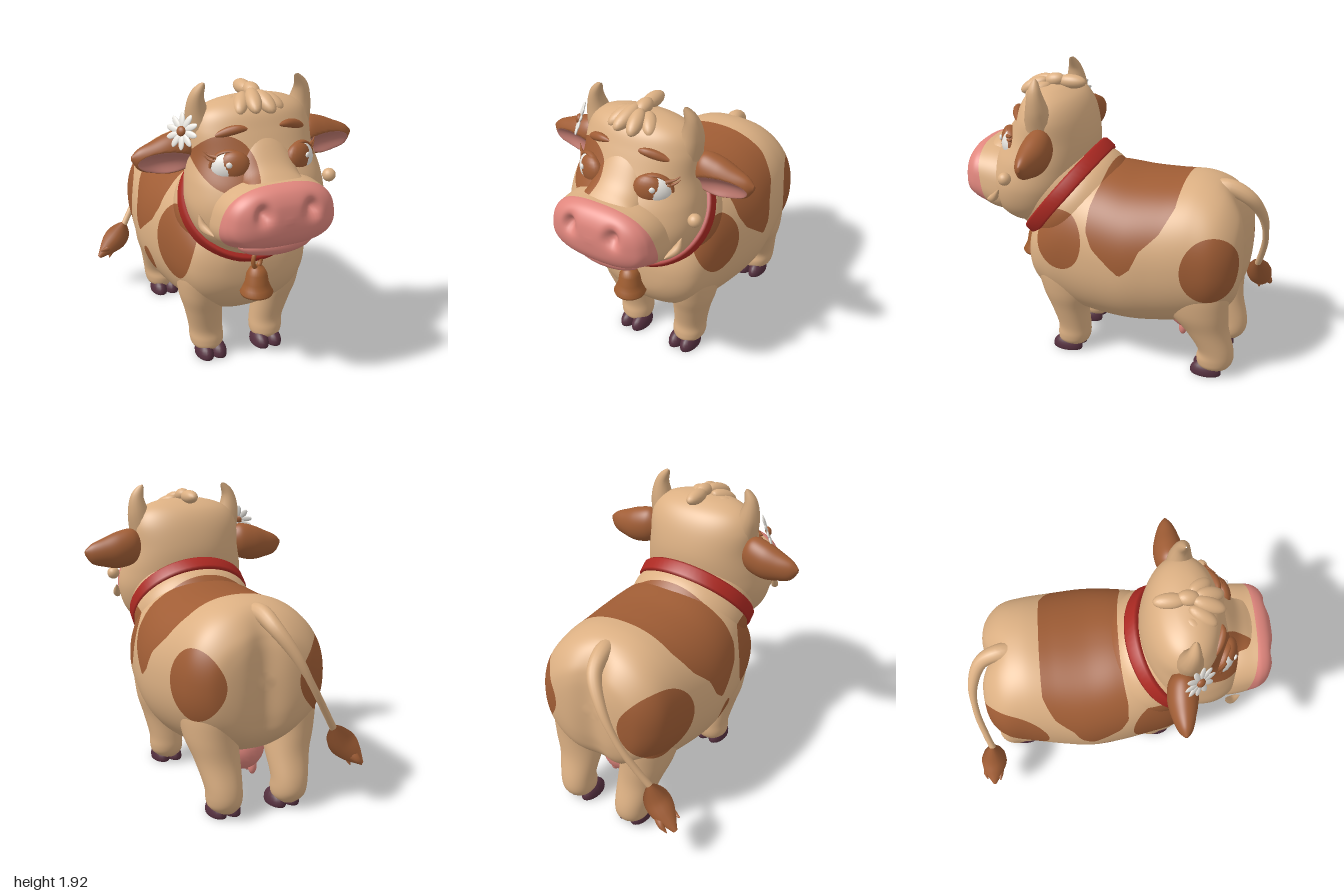
import * as THREE from 'three';

const flat = (name, color) => Object.assign(new THREE.MeshStandardMaterial({ color }), { name });

// Smooth skin through cross-sections [t, a0, a1, b0, b1]; axis 0 = x, 1 = y, 2 = z
function loft(axis, rows, power, steps, around) {
  const pos = [], index = [], n = (rows.length - 1) * steps;
  const row = i => rows[Math.min(Math.max(i, 0), rows.length - 1)];
  const put = (t, a, b) => {
    const p = [0, 0, 0];
    p[axis] = t; p[(axis + 1) % 3] = a; p[(axis + 2) % 3] = b;
    pos.push(...p);
  };
  const bulge = v => Math.sign(v) * Math.abs(v) ** (2 / power);
  const sections = [];
  for (let i = 0; i <= n; i++) {
    const k = Math.min(Math.floor(i / steps), rows.length - 2), f = i / steps - k;
    const s = row(k).map((p1, c) => {
      const p0 = row(k - 1)[c], p2 = row(k + 1)[c], p3 = row(k + 2)[c];
      return p1 + 0.5 * f * (p2 - p0 + f * (2 * p0 - 5 * p1 + 4 * p2 - p3 + f * (3 * (p1 - p2) + p3 - p0)));
    });
    sections.push(s);
    for (let j = 0; j < around; j++) {
      const w = j / around * Math.PI * 2;
      put(s[0], (s[1] + s[2]) / 2 + (s[2] - s[1]) / 2 * bulge(Math.cos(w)),
        (s[3] + s[4]) / 2 + (s[4] - s[3]) / 2 * bulge(Math.sin(w)));
    }
  }
  for (const s of [sections[0], sections[n]]) put(s[0], (s[1] + s[2]) / 2, (s[3] + s[4]) / 2);
  const c0 = (n + 1) * around;
  for (let j = 0; j < around; j++) {
    const j2 = (j + 1) % around;
    for (let i = 0; i < n; i++) {
      const a = i * around + j, b = i * around + j2;
      index.push(a, b, b + around, a, b + around, a + around);
    }
    index.push(c0, j2, j, c0 + 1, n * around + j, n * around + j2);
  }
  const g = new THREE.BufferGeometry();
  g.setAttribute('position', new THREE.Float32BufferAttribute(pos, 3));
  g.setIndex(index);
  g.computeVertexNormals();
  return g;
}

// Ellipsoid
function blob(x, y, z, rx, ry, rz, ax = 0, ay = 0) {
  return new THREE.SphereGeometry(1, 20, 14).scale(rx, ry, rz).rotateX(ax).rotateY(ay).translate(x, y, z);
}

// Move every vertex by a rule
function sculpt(g, rule) {
  const p = g.attributes.position;
  for (let i = 0; i < p.count; i++) p.setXYZ(i, ...rule(p.getX(i), p.getY(i), p.getZ(i)));
  g.computeVertexNormals();
  return g;
}

// Tube whose radius follows a rule
function taper(points, radius, seg = 24, sides = 14) {
  const curve = new THREE.CatmullRomCurve3(points.map(p => new THREE.Vector3(...p)));
  const g = new THREE.TubeGeometry(curve, seg, 1, sides);
  const p = g.attributes.position, v = new THREE.Vector3();
  for (let i = 0; i < p.count; i++) {
    const t = Math.floor(i / (sides + 1)) / seg, c = curve.getPointAt(t);
    v.fromBufferAttribute(p, i).sub(c).multiplyScalar(radius(t)).add(c);
    p.setXYZ(i, v.x, v.y, v.z);
  }
  return g;
}

function mirror(geo) {
  const g = geo.clone().scale(-1, 1, 1), ix = g.index.array;
  for (let i = 0; i < ix.length; i += 3) [ix[i], ix[i + 1]] = [ix[i + 1], ix[i]];
  return g;
}

// Split the skin along the zero line of a field: negative faces first, positive second
function paint(g, field) {
  const p = [...g.attributes.position.array], n = [...g.attributes.normal.array], ix = g.index.array;
  const f = [], sets = [[], []];
  for (let i = 0; i < p.length; i += 3) f.push(field(p[i], p[i + 1], p[i + 2]));
  const side = i => (f[i] > 0 ? 1 : 0);
  const cut = (a, b) => {
    const t = f[a] / (f[a] - f[b]);
    for (const list of [p, n])
      for (let c = 0; c < 3; c++) list.push(list[a * 3 + c] * (1 - t) + list[b * 3 + c] * t);
    return p.length / 3 - 1;
  };
  for (let i = 0; i < ix.length; i += 3) {
    const tri = [ix[i], ix[i + 1], ix[i + 2]];
    const lone = tri.findIndex((v, k) => side(v) !== side(tri[(k + 1) % 3]) && side(v) !== side(tri[(k + 2) % 3]));
    if (lone < 0) { sets[side(tri[0])].push(...tri); continue; }
    const a = tri[lone], b = tri[(lone + 1) % 3], c = tri[(lone + 2) % 3], ab = cut(a, b), ac = cut(a, c);
    sets[side(a)].push(a, ab, ac);
    sets[side(b)].push(ab, b, c, ab, c, ac);
  }
  const out = new THREE.BufferGeometry();
  out.setAttribute('position', new THREE.Float32BufferAttribute(p, 3));
  out.setAttribute('normal', new THREE.Float32BufferAttribute(n, 3));
  out.setIndex([...sets[0], ...sets[1]]);
  out.addGroup(0, sets[0].length, 0);
  out.addGroup(sets[0].length, sets[1].length, 1);
  return out;
}

// Patch fields; the saddle outline is [z, y]
const saddle = [[-0.02, 1.6], [0.02, 1.28], [0.05, 1.15], [0.05, 1.02], [0, 0.92], [-0.1, 0.84], [-0.19, 0.77],
  [-0.26, 0.83], [-0.31, 0.95], [-0.42, 1.06], [-0.49, 1.2], [-0.5, 1.6]];
function inSaddle(z, y) {
  let sign = -1, d = 9;
  saddle.forEach(([z1, y1], i) => {
    const [z2, y2] = saddle[(i + 1) % saddle.length], dz = z2 - z1, dy = y2 - y1;
    if ((y1 > y) !== (y2 > y) && z < dz * (y - y1) / dy + z1) sign = -sign;
    const t = Math.min(1, Math.max(0, ((z - z1) * dz + (y - y1) * dy) / (dz * dz + dy * dy)));
    d = Math.min(d, Math.hypot(z - z1 - t * dz, y - y1 - t * dy));
  });
  return sign * d;
}
const spots = [[0.43, 0.92, 0.25, 0.3, 0.2, 0.175], [-0.43, 0.86, 0.26, 0.3, 0.25, 0.18],
  [0.47, 0.845, -0.755, 0.3, 0.225, 0.19], [-0.43, 0.84, -0.73, 0.28, 0.24, 0.26], [-0.48, 0.6, -0.1, 0.3, 0.085, 0.065]];
const hidePatch = (x, y, z) => Math.max(inSaddle(z, y), ...spots.map(([cx, cy, cz, rx, ry, rz]) =>
  0.2 * (1 - Math.hypot((x - cx) / rx, (y - cy) / ry, (z - cz) / rz))));
const eyePatch = (x, y, z) => Math.min(z - 0.42, 0.15 * (1 - Math.hypot((x + 0.24) / 0.152, (y - 1.485) / 0.152)));

export function createModel() {
  const cow = new THREE.Group();
  cow.name = 'cow';
  const skin = flat('cream hide', 0xdcb083), brown = flat('brown patches', 0xa05d35);
  const pink = flat('pink snout', 0xe0867d), innerEar = flat('inner ear pink', 0xc07a70);
  const dark = flat('dark hoof', 0x55303f), red = flat('red collar', 0xac2922);
  const white = flat('white', 0xe8e5df), copper = flat('copper bell', 0x9f5d30);
  const add = (name, geo, mat, parent = cow) => {
    const m = new THREE.Mesh(geo, mat);
    m.name = name;
    parent.add(m);
  };
  const both = (name, geo, mat) => { add(name + 'Left', geo, mat); add(name + 'Right', mirror(geo), mat); };
  const hide = [skin, brown];
  const wide = rows => rows.map(([t, w, b, top]) => [t, -w, w, b, top]);
  const deep = rows => rows.map(([t, b, f, w]) => [t, b, f, -w, w]);

  // Body with a cleft rump: [z, half width, bottom, top]
  const body = loft(2, wide([[-0.905, 0.06, 0.8, 0.9], [-0.89, 0.26, 0.62, 1.06], [-0.85, 0.37, 0.5, 1.16],
    [-0.75, 0.45, 0.41, 1.26], [-0.6, 0.48, 0.34, 1.31], [-0.4, 0.51, 0.3, 1.3], [-0.2, 0.53, 0.28, 1.295],
    [0, 0.51, 0.28, 1.31], [0.2, 0.47, 0.3, 1.3], [0.35, 0.43, 0.36, 1.18], [0.47, 0.36, 0.46, 1.02],
    [0.54, 0.22, 0.58, 0.88], [0.56, 0.02, 0.72, 0.76]]), 2.2, 9, 128);
  sculpt(body, (x, y, z) => [x, y, z + 0.05 * Math.exp(-((x / 0.1) ** 2)) * Math.min(1, Math.max(0, (-0.7 - z) / 0.18))]);
  add('body', paint(body, hidePatch), hide);

  // Neck and collar share a tilted frame
  const tilt = g => g.rotateX(0.905).translate(0, 1.11, 0.33);
  add('neck', paint(tilt(loft(1, deep([[-0.35, -0.35, 0.35, 0.39], [-0.12, -0.38, 0.38, 0.42], [0, -0.365, 0.365, 0.395],
    [0.15, -0.35, 0.35, 0.38], [0.3, -0.2, 0.2, 0.22]]), 2, 8, 88)), hidePatch), hide);
  const band = [[0.93, -0.045], [1.03, -0.05], [1.06, -0.035], [1.06, 0.035], [1.03, 0.05], [0.93, 0.045]];
  add('collar', tilt(new THREE.LatheGeometry(band.map(p => new THREE.Vector2(...p)), 64).scale(0.395, 1, 0.378)), red);

  // Bell
  const bell = [[0, 0.1], [0.07, 0.05], [0.085, 0.005], [0.1, 0], [0.106, 0.015], [0.09, 0.045], [0.076, 0.08], [0.066, 0.14], [0.045, 0.18], [0, 0.195]];
  add('bell', new THREE.LatheGeometry(bell.map(p => new THREE.Vector2(...p)), 32).translate(-0.015, 0.575, 0.595), copper);
  add('bellClapper', blob(-0.015, 0.605, 0.595, 0.03, 0.035, 0.03), copper);
  add('bellRing', new THREE.TorusGeometry(0.05, 0.015, 10, 24).scale(0.8, 1.1, 1).rotateY(0.5).translate(-0.015, 0.81, 0.595), copper);

  // Legs: [y, back, front, inner, outer], with cloven hooves
  const foreLeg = [[0.035, 0.17, 0.3, 0.15, 0.27], [0.07, 0.135, 0.34, 0.115, 0.315], [0.12, 0.12, 0.345, 0.105, 0.33],
    [0.2, 0.12, 0.34, 0.11, 0.335], [0.35, 0.12, 0.38, 0.12, 0.37], [0.5, 0.08, 0.43, 0.12, 0.41],
    [0.7, 0.06, 0.46, 0.14, 0.415], [0.9, 0.12, 0.38, 0.2, 0.32]];
  const hindLeg = [[0.035, -0.83, -0.68, 0.15, 0.27], [0.07, -0.865, -0.65, 0.12, 0.315], [0.12, -0.885, -0.64, 0.11, 0.33],
    [0.2, -0.88, -0.645, 0.11, 0.34], [0.35, -0.845, -0.55, 0.1, 0.375], [0.5, -0.84, -0.43, 0.1, 0.42],
    [0.7, -0.84, -0.38, 0.1, 0.43], [0.9, -0.78, -0.42, 0.15, 0.36]];
  for (const [name, rows, hoofZ] of [['frontLeg', foreLeg, 0.275], ['hindLeg', hindLeg, -0.71]]) {
    const leg = loft(1, rows, 2.1, 5, 56);
    add(name + 'Left', paint(leg, hidePatch), hide);
    add(name + 'Right', paint(mirror(leg), hidePatch), hide);
    for (const dx of [-0.046, 0.046])
      both(name + 'Hoof', sculpt(blob(0.203 + dx, 0.015, hoofZ, 0.058, 0.08, 0.105), (x, y, z) => [x, Math.max(0, y), z]), dark);
  }

  // Udder
  add('udder', blob(0, 0.345, -0.53, 0.15, 0.155, 0.155), pink);
  for (const z of [-0.5, -0.57]) both('teat', blob(0.065, 0.205, z, 0.028, 0.055, 0.028), pink);

  // Tail with a tufted brush
  add('tail', taper([[0, 1.2, -0.6], [-0.02, 1.235, -0.75], [-0.05, 1.17, -0.875], [-0.15, 1.01, -0.955], [-0.27, 0.8, -0.965],
    [-0.38, 0.62, -0.93], [-0.47, 0.48, -0.89]], t => 0.068 - 0.046 * Math.min(1, t * 1.7), 48), skin);
  add('tailBrush', taper([[-0.45, 0.52, -0.9], [-0.5, 0.43, -0.9], [-0.56, 0.36, -0.91], [-0.65, 0.26, -0.92]],
    t => 0.015 + 0.085 * Math.sin(Math.PI * t ** 0.85) * (1 - 0.35 * t)), brown);
  for (const [x, y, z] of [[-0.65, 0.33, -0.87], [-0.58, 0.25, -0.9], [-0.62, 0.27, -0.97]])
    add('tailTuft', taper([[-0.52, 0.4, -0.9], [(x - 0.54) / 2, (y + 0.36) / 2, z], [x, y, z]],
      t => 0.06 * (1 - t) + 0.003), brown);

  // Head: [y, back, front, half width], and the sloping bridge: [z, half width, bottom, top]
  const head = loft(1, deep([[0.9, 0.5, 0.6, 0.1], [0.95, 0.38, 0.72, 0.28], [1.05, 0.25, 0.82, 0.385], [1.2, 0.18, 0.84, 0.435],
    [1.35, 0.15, 0.8, 0.425], [1.5, 0.145, 0.71, 0.39], [1.65, 0.18, 0.64, 0.375], [1.75, 0.24, 0.59, 0.315],
    [1.805, 0.33, 0.52, 0.19], [1.825, 0.42, 0.44, 0.01]]), 2.1, 9, 112);
  add('head', paint(head, eyePatch), hide);
  const bridge = loft(2, wide([[0.4, 0.2, 1.25, 1.7], [0.58, 0.2, 1.2, 1.68], [0.66, 0.195, 1.15, 1.61], [0.75, 0.21, 1.1, 1.495],
    [0.82, 0.25, 1.1, 1.435], [0.87, 0.26, 1.1, 1.4]]), 2, 6, 64);
  add('bridge', paint(bridge, eyePatch), hide);

  // Muzzle with dented nostrils: [z, half width, bottom, top]
  const muzzle = loft(2, wide([[0.5, 0.34, 1.02, 1.34], [0.7, 0.36, 0.97, 1.41], [0.84, 0.35, 1.01, 1.415], [0.9, 0.335, 1.035, 1.41],
    [0.95, 0.29, 1.06, 1.38], [0.985, 0.19, 1.12, 1.32], [0.998, 0.02, 1.21, 1.24]]), 2.6, 9, 96);
  sculpt(muzzle, (x, y, z) => {
    const dent = Math.exp(-(((Math.abs(x) - 0.155) / 0.042) ** 2) - ((y - 1.275) / 0.05) ** 2);
    return [x * (1 - 0.45 * (y - 1.2)), y, z > 0.88 ? z - 0.06 * dent : z];
  });
  add('muzzle', paint(muzzle, (x, y, z) => z - 0.78 - 0.225 * (y - 1)), [skin, pink]);
  add('lowerLip', blob(0, 1.03, 0.81, 0.24, 0.078, 0.105), pink);
  both('smile', taper([[0.37, 1.1, 0.77], [0.41, 1.14, 0.7], [0.42, 1.2, 0.66]], t => 0.022 * Math.sin(Math.PI * t) + 0.003, 12, 10), skin);

  // Eyes, lids, lashes and brows
  both('eye', blob(0.225, 1.46, 0.63, 0.108, 0.1, 0.078, 0, 0.45), white);
  both('iris', blob(0.203, 1.47, 0.668, 0.097, 0.094, 0.055, 0, 0.35), brown);
  both('eyeGlint', blob(0.25, 1.495, 0.707, 0.018, 0.018, 0.01, 0, 0.5), white);
  both('eyelid', new THREE.TorusGeometry(1, 0.1, 10, 32, Math.PI * 0.85).scale(0.11, 0.1, 0.2)
    .rotateY(0.45).translate(0.225, 1.46, 0.65), brown);
  for (const dy of [0, 0.025])
    both('eyelash', taper([[0.295, 1.5 + dy, 0.635], [0.335, 1.51 + dy, 0.6], [0.36, 1.53 + dy, 0.575]], t => 0.013 * (1 - t) + 0.002, 8, 8), brown);
  both('brow', taper([[0.1, 1.67, 0.62], [0.15, 1.675, 0.62], [0.2, 1.665, 0.605], [0.285, 1.63, 0.565]],
    t => 0.028 * Math.sqrt(Math.max(0.01, Math.sin(Math.PI * t)))), brown);

  // Ears with a scooped pink inside: [x, bottom, top, back, front]
  const scoop = (x, y) => 1 - ((Math.abs(x) - 0.525) / 0.17) ** 2 - ((y - 1.455) / 0.07) ** 2;
  const ear = sculpt(loft(0, [[0.33, 1.44, 1.58, 0.32, 0.42], [0.4, 1.39, 1.63, 0.28, 0.46], [0.5, 1.37, 1.615, 0.27, 0.46],
    [0.6, 1.385, 1.575, 0.29, 0.44], [0.68, 1.41, 1.54, 0.32, 0.41], [0.725, 1.47, 1.5, 0.355, 0.375]], 2, 8, 64),
    (x, y, z) => [x, y, z > 0.37 ? z - 0.06 * Math.max(0, scoop(x, y)) : z]);
  both('ear', paint(ear, (x, y, z) => Math.min(z - 0.34, 0.1 * scoop(x, y))), [brown, innerEar]);

  // Horns and forelock
  both('horn', taper([[0.3, 1.62, 0.41], [0.335, 1.74, 0.41], [0.335, 1.84, 0.42], [0.295, 1.915, 0.43]],
    t => 0.092 * Math.sqrt(1 - t ** 1.7) * (1 - 0.45 * t) + 0.004), skin);
  for (const [x, y, z, r, lean, turn] of [[0, 1.835, 0.31, 0.1, 0, 0], [0.01, 1.84, 0.42, 0.07, 0.2, 0], [-0.09, 1.79, 0.5, 0.1, 0.4, -0.5],
    [-0.03, 1.81, 0.54, 0.11, 0.4, -0.2], [0.04, 1.8, 0.55, 0.1, 0.45, 0.2], [0.1, 1.785, 0.5, 0.09, 0.4, 0.6],
    [-0.14, 1.77, 0.44, 0.075, 0.3, -0.9]])
    add('forelock', blob(x, y, z, 0.048, 0.045, r, lean, turn), skin);

  // Daisy by the ear, and a bead on the other cheek
  const daisy = new THREE.Group();
  daisy.name = 'daisy';
  for (let i = 0; i < 10; i++)
    add('petal', blob(0, 0.065, 0, 0.02, 0.046, 0.008).rotateZ(i * Math.PI / 5), white, daisy);
  add('daisyHeart', blob(0, 0, 0.006, 0.03, 0.03, 0.02), brown, daisy);
  daisy.position.set(-0.445, 1.65, 0.46);
  daisy.quaternion.setFromUnitVectors(new THREE.Vector3(0, 0, 1), new THREE.Vector3(-0.78, 0.35, 0.52).normalize());
  cow.add(daisy);
  add('cheekBead', blob(0.465, 1.3, 0.59, 0.042, 0.042, 0.042), skin);
  return cow;
}
